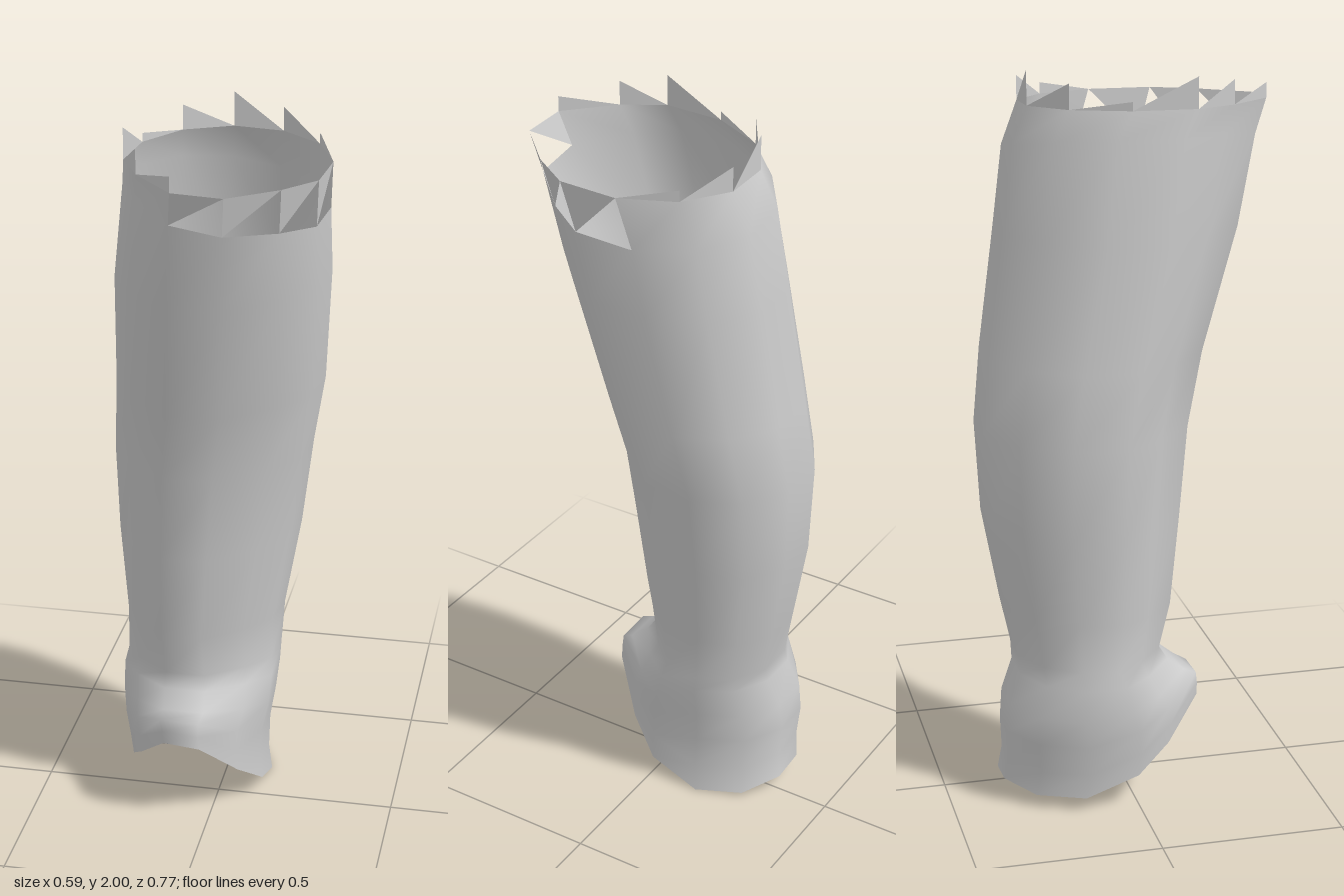
import * as THREE from 'three';

const SIDES = 12;
const CUT = 4; // torn-away segments at the front left of the rim

// Each ring: base height, curl of the height along z, tilt along x, x range, z range, skew
const RINGS = [
  [0.0, 1.5, 0.1, -0.25, 0.13, -0.35, 0.2, 0.04],
  [0.08, 1.25, 0.08, -0.258, 0.122, -0.34, 0.2, 0.02],
  [0.18, 0.9, 0.05, -0.272, 0.125, -0.345, 0.195, 0],
  [0.28, 0.5, 0, -0.28, 0.14, -0.338, 0.16, 0],
  [0.37, 0.15, 0, -0.28, 0.148, -0.305, 0.11, 0.05],
  [0.42, 0, 0, -0.268, 0.148, -0.305, 0.085, 0.1],
  [0.55, 0, 0, -0.265, 0.155, -0.332, 0.115, 0.14],
  [0.8, 0, 0, -0.285, 0.197, -0.376, 0.14, 0.12],
  [1.05, 0, 0, -0.292, 0.228, -0.388, 0.165, 0.09],
  [1.25, 0, 0, -0.277, 0.262, -0.365, 0.21, 0.08],
  [1.58, 0, 0, -0.258, 0.284, -0.318, 0.31, 0.07],
  [1.785, 0, 0.17, -0.222, 0.282, -0.29, 0.36, 0.08],
  [1.9, 0, 0.05, -0.21, 0.291, -0.245, 0.392, 0.08],
];
const TIPS = [1.925, 1.965, 2, 1.98, 1.94, 2, 1.98, 1.95];

// The front half of each ring is a little pointed, the back half round
function ringPoint([y0, curl, tilt, x0, x1, z0, z1, skew], i) {
  const a = THREE.MathUtils.degToRad(-15 + (360 / SIDES) * i);
  const depth = Math.cos(a) > 0 ? 1.07 * (1 - 0.19 * Math.sin(2 * a) ** 2) : 1.03;
  const z = (z0 + z1) / 2 + ((z1 - z0) / 2) * depth * Math.cos(a);
  const x = (x0 + x1) / 2 + ((x1 - x0) / 2) * 1.03 * Math.sin(a - skew);
  return new THREE.Vector3(x, y0 + curl * (z + 0.2) ** 2 - tilt * (x - 0.13), z);
}

const ringPoints = (ring) => Array.from({ length: SIDES }, (_, i) => ringPoint(ring, i));

function surface(points, index, name, flat) {
  const geo = new THREE.BufferGeometry().setFromPoints(points);
  if (index) geo.setIndex(index);
  geo.computeVertexNormals();
  const mesh = new THREE.Mesh(geo, new THREE.MeshStandardMaterial({
    color: 0xcccccc, side: THREE.DoubleSide, flatShading: flat,
  }));
  mesh.name = name;
  return mesh;
}

// Smooth skin over rows of ring points; the last row can leave out segments
function loft(rows, name, skipped = 0) {
  const index = [];
  for (let r = 1; r < rows.length; r++) {
    for (let i = r === rows.length - 1 ? skipped : 0; i < SIDES; i++) {
      const j = (i + 1) % SIDES, lo = (r - 1) * SIDES, hi = r * SIDES;
      index.push(lo + i, lo + j, hi + j, lo + i, hi + j, hi + i);
    }
  }
  return surface(rows.flat(), index, name, false);
}

export function createModel() {
  const group = new THREE.Group();
  group.name = 'sleeve';

  // Tube with a flared cuff; the top row is missing at the front
  group.add(loft(RINGS.map(ringPoints), 'sleeveBody', CUT));

  // Recessed lining that closes the cuff: [share of the way inward, share of the rise]
  const centre = new THREE.Vector3(-0.06, 0.2, -0.08);
  const lining = [[1, 1], [0.55, 0.9], [0.15, 0.45], [0, 0]].map(([inward, rise]) =>
    ringPoints(RINGS[0]).map((p) => {
      const y = THREE.MathUtils.lerp(p.y, centre.y, rise);
      return p.lerp(centre, inward).setY(y);
    }));
  group.add(loft(lining, 'cuffLining'));

  // Jagged rim: hanging triangles over the cut, upright teeth elsewhere
  const [base, rim] = RINGS.slice(-2);
  const hanging = [], upright = [];
  for (let i = 0; i < SIDES; i++) {
    const a = ringPoint(rim, i), b = ringPoint(rim, i + 1);
    if (i < CUT) hanging.push(ringPoint(base, i), b, a);
    else upright.push(a, b, b.clone().setY(TIPS[i - CUT]));
  }
  group.add(surface(hanging, null, 'frontRimTeeth', true));
  group.add(surface(upright, null, 'backRimTeeth', true));
  return group;
}
